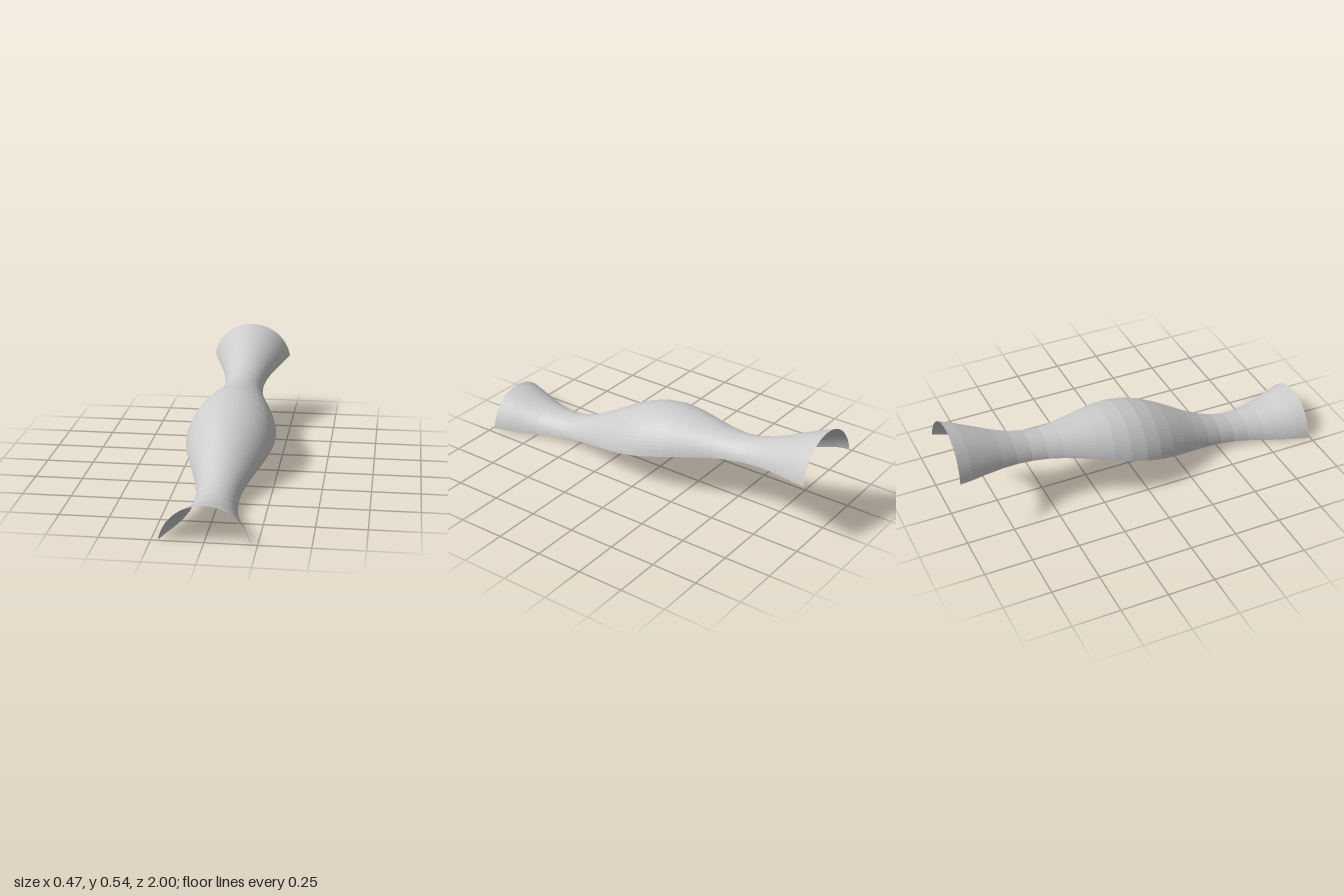
import * as THREE from 'three';

const HALF_ARC = THREE.MathUtils.degToRad(80);
const LEAN = 0.06; // slight pitch of every rib

// Centre line of the arched shell, rising from front to back
const spine = new THREE.SplineCurve([
  [0.987, -0.038], [0.8, -0.025], [0.6, 0.008], [0.4, 0.046], [0.2, 0.092], [0, 0.14],
  [-0.2, 0.19], [-0.4, 0.235], [-0.6, 0.268], [-0.8, 0.297], [-1.002, 0.318],
].map(([z, y]) => new THREE.Vector2(z, y)));

// Radius swells at the middle and both mouths, with a neck between
const radiusAt = (z) => 0.175 + 0.065 * Math.cos((2 * Math.PI * z) / 1.13);

export function createModel() {
  const group = new THREE.Group();
  group.name = 'archedCanopy';

  // Bend a flat grid into arcs: x becomes the angle, y the place along the spine
  const geometry = new THREE.PlaneGeometry(2, 1, 32, 24);
  const pos = geometry.attributes.position;
  for (let i = 0; i < pos.count; i++) {
    const angle = pos.getX(i) * HALF_ARC;
    const c = spine.getPoint(THREE.MathUtils.clamp(pos.getY(i) + 0.5, 0, 1));
    const r = radiusAt(c.x);
    const rise = r * Math.cos(angle);
    pos.setXYZ(i, r * Math.sin(angle), c.y + rise, c.x + LEAN * rise);
  }
  geometry.computeVertexNormals();

  const shell = new THREE.Mesh(geometry, new THREE.MeshStandardMaterial({
    color: 0xcccccc, flatShading: true, side: THREE.DoubleSide,
  }));
  shell.name = 'canopyShell';
  group.add(shell);
  return group;
}
